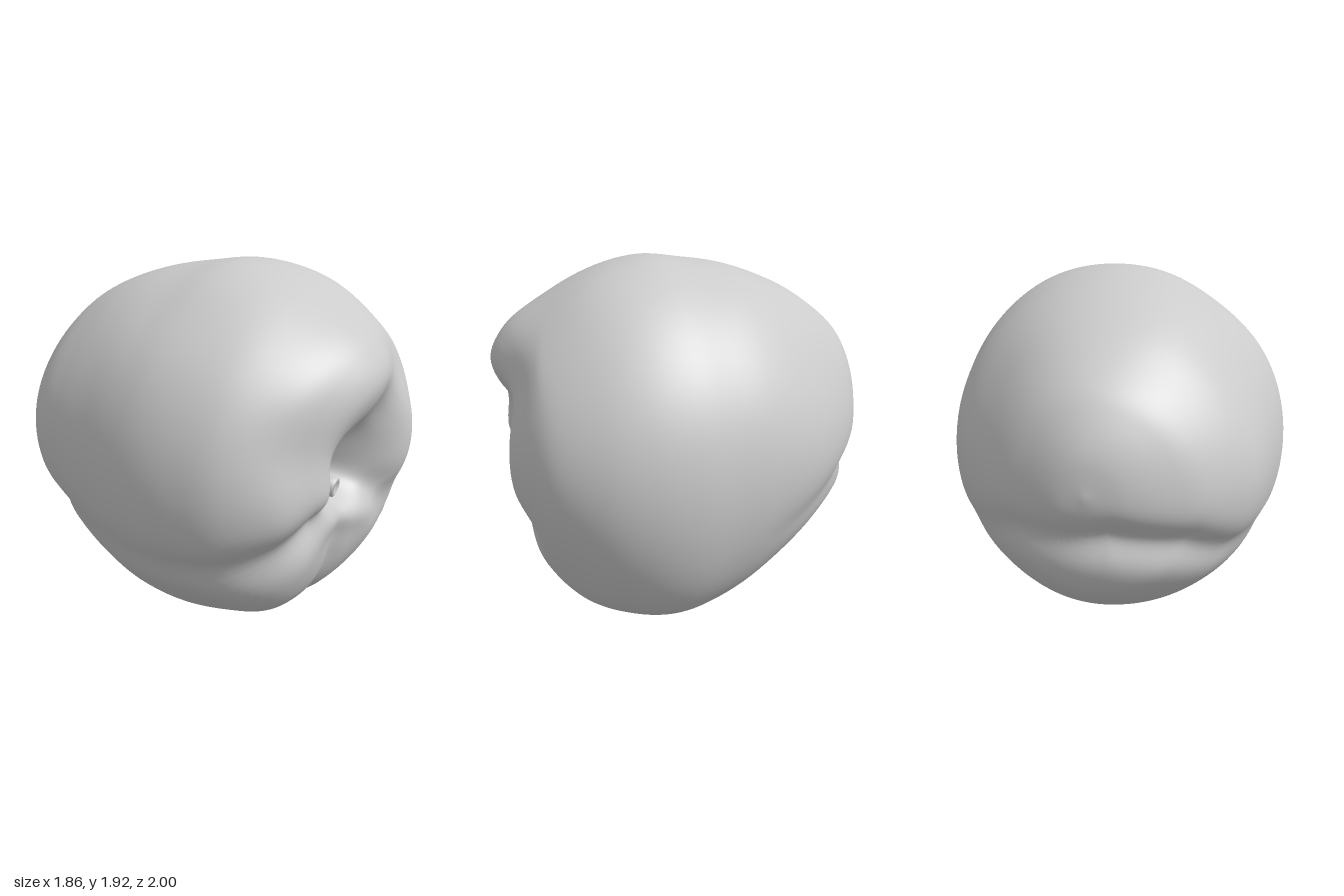
import * as THREE from 'three';
import { mergeVertices } from 'three/addons/utils/BufferGeometryUtils.js';

const V = (x, y, z) => new THREE.Vector3(x, y, z);
const CENTRE = V(0, 0.96, 0);
const direction = (x, y, z) => V(x, y, z).sub(CENTRE).normalize();

// Rings from the back pole over the front rim into the stem cavity: z, x min, x max, y min, y max
const RINGS = [
  [-1, 0, 0, 1.1, 1.1], [-0.975, -0.19, 0.15, 0.87, 1.29], [-0.9, -0.38, 0.31, 0.62, 1.45],
  [-0.8, -0.53, 0.45, 0.47, 1.57], [-0.6, -0.71, 0.62, 0.3, 1.71], [-0.4, -0.8, 0.76, 0.18, 1.8],
  [-0.2, -0.86, 0.85, 0.08, 1.865], [0, -0.91, 0.9, 0.02, 1.9], [0.2, -0.93, 0.93, 0, 1.92],
  [0.4, -0.91, 0.92, 0.05, 1.88], [0.6, -0.85, 0.86, 0.16, 1.79], [0.8, -0.71, 0.73, 0.36, 1.65],
  [0.9, -0.55, 0.57, 0.5, 1.53], [0.95, -0.4, 0.4, 0.62, 1.38], [0.88, -0.28, 0.25, 0.71, 1.21],
  [0.7, -0.18, 0.12, 0.78, 1.1], [0.5, -0.11, 0.05, 0.84, 1.03], [0.4, -0.03, -0.03, 0.93, 0.93],
];

// Creases between the lobes: width, then points x, y, z, depth
const GROOVES = [
  [0.11, [[-0.05, 0.9, 0.6, 0.04], [-0.4, 0.76, 0.85, 0.1], [-0.8, 0.55, 0.5, 0.055], [-0.8, 0.6, 0.15, 0.02],
    [-0.6, 0.69, -0.6, 0.045], [-0.43, 0.81, -0.8, 0.065], [-0.1, 0.87, -0.9, 0.075], [0.37, 0.84, -0.8, 0.04],
    [0.7, 0.66, -0.4, 0.012], [0.8, 0.6, -0.15, 0]]],
  [0.12, [[0, 0.9, 0.6, 0.04], [0.2, 0.77, 0.8, 0.1], [0.44, 0.58, 0.8, 0]]],
  [0.06, [[-0.05, 0.75, 0.7, 0.01], [-0.06, 0.45, 0.75, 0.035], [-0.08, 0.1, 0.5, 0.03], [-0.08, 0.02, 0.1, 0]]],
  [0.16, [[0, 1.05, 0.6, 0.03], [0.14, 1.2, 0.9, 0.065], [0.42, 1.45, 0.75, 0]]],
].map(([width, points]) => ({
  width,
  segments: points.slice(1).map((p, i) => ({
    line: new THREE.Line3(direction(...points[i]), direction(...p)), from: points[i][3], to: p[3],
  })),
}));

// Broad swellings and hollows: x, y, z, width, height
const BUMPS = [
  [-0.08, 0.67, 0.8, 0.3, -0.13],
  [-0.07, 1.38, 0.9, 0.28, 0.055],
  [0.34, 1.0, 0.9, 0.22, 0.03],
  [-0.57, 1.15, 0.8, 0.2, -0.045],
  [-0.25, 1.08, 0.85, 0.17, -0.07],
  [0.32, 0.3, 0.65, 0.35, 0.045],
  [-0.42, 0.38, 0.65, 0.25, 0.045],
  [0.65, 0.3, 0.2, 0.4, 0.045],
  [-0.6, 0.3, 0.3, 0.3, -0.03],
  [-0.2, 0.05, 0.1, 0.25, -0.03],
  [-0.6, 1.05, -0.65, 0.4, 0.035],
  [0.65, 0.95, -0.6, 0.4, 0.025],
  [0.55, 1.5, -0.5, 0.35, -0.02],
  [-0.52, 1.7, 0.2, 0.28, -0.025],
  [0.35, 1.75, 0.5, 0.3, 0.025],
  [-0.3, 1.75, -0.4, 0.3, 0.02],
].map(([x, y, z, width, height]) => ({ dir: direction(x, y, z), width, height }));

const bell = (d, w) => Math.exp(-((d / w) ** 2));

function reliefAt(dir) {
  let height = 0;
  for (const b of BUMPS) height += b.height * bell(dir.distanceTo(b.dir), b.width);
  const near = V(0, 0, 0);
  for (const { width, segments } of GROOVES) {
    let cut = 0;
    for (const { line, from, to } of segments) {
      const t = line.closestPointToPointParameter(dir, true);
      const d = line.at(t, near).distanceTo(dir);
      cut = Math.max(cut, THREE.MathUtils.lerp(from, to, t) * bell(d, width));
    }
    height -= cut;
  }
  return height;
}

function bodyGeometry(rows = 136, sides = 128) {
  const widths = new THREE.CatmullRomCurve3(RINGS.map(r => V(r[0], r[1], r[2])), false, 'catmullrom');
  const heights = new THREE.CatmullRomCurve3(RINGS.map(r => V(r[0], r[3], r[4])), false, 'catmullrom');
  const positions = [], index = [];
  for (let i = 0; i <= rows; i++) {
    const w = widths.getPoint(i / rows), h = heights.getPoint(i / rows);
    const cy = (h.y + h.z) / 2, ry = (h.z - h.y) / 2;
    const cx = i === 0 || i === rows ? w.y : 0;
    for (let j = 0; j < sides; j++) {
      const a = (j / sides) * Math.PI * 2, c = Math.cos(a);
      const x = cx || (c > 0 ? c * w.z : -c * w.y);
      const p = V(x, cy + ry * Math.sin(a), w.x);
      const dir = p.clone().sub(CENTRE).normalize();
      p.addScaledVector(dir, reliefAt(dir));
      positions.push(p.x, p.y, p.z);
      if (i < rows) {
        const k = (j + 1) % sides, A = i * sides + j, B = i * sides + k;
        if (i > 0) index.push(A, B, A + sides);
        if (i < rows - 1) index.push(B, B + sides, A + sides);
      }
    }
  }
  const geo = new THREE.BufferGeometry();
  geo.setAttribute('position', new THREE.Float32BufferAttribute(positions, 3));
  geo.setIndex(index);
  const merged = mergeVertices(geo, 1e-5);
  merged.computeVertexNormals();
  return merged;
}

export function createModel() {
  const group = new THREE.Group();
  const material = new THREE.MeshStandardMaterial({ color: 0xcccccc });
  const add = (name, geometry) => {
    const mesh = new THREE.Mesh(geometry, material);
    mesh.name = name;
    group.add(mesh);
    return mesh;
  };

  add('fruitBody', bodyGeometry());

  // Short stem rising out of the cavity, with a rounded, hollow-topped tip
  const base = V(-0.06, 0.89, 0.34), tip = V(-0.025, 0.815, 0.77);
  const length = base.distanceTo(tip);
  const profile = [[0.05, 0], [0.036, length * 0.4], [0.042, length * 0.75], [0.056, length * 0.92],
    [0.052, length], [0.034, length + 0.006], [0.022, length - 0.01], [0, length - 0.014]];
  const stem = add('stem', new THREE.LatheGeometry(profile.map(p => new THREE.Vector2(...p)), 20));
  stem.position.copy(base);
  stem.quaternion.setFromUnitVectors(V(0, 1, 0), tip.clone().sub(base).normalize());

  // Small bud scar beside the stem
  const nub = add('stemNub', new THREE.SphereGeometry(0.04, 12, 8));
  nub.position.set(-0.1, 0.9, 0.46);
  nub.scale.set(1.1, 0.8, 1.3);

  return group;
}
